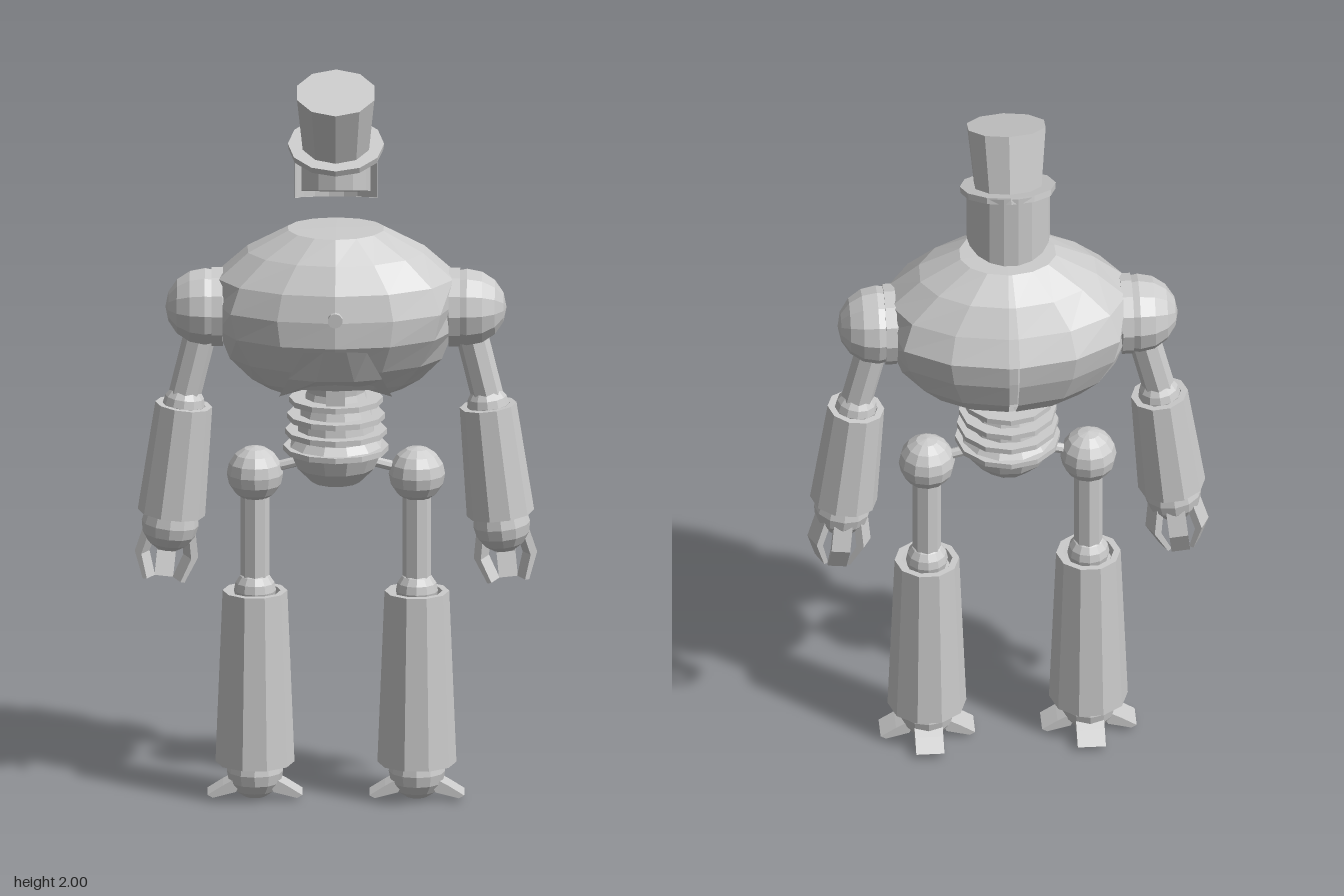
import * as THREE from 'three';

const mat = new THREE.MeshStandardMaterial({ color: 0xcccccc, flatShading: true, side: THREE.DoubleSide });

function add(parent, name, geo, x = 0, y = 0, z = 0) {
  const m = new THREE.Mesh(geo, mat);
  m.name = name;
  m.position.set(x, y, z);
  parent.add(m);
  return m;
}

function group(parent, name, x = 0, y = 0, z = 0) {
  const g = new THREE.Group();
  g.name = name;
  g.position.set(x, y, z);
  parent.add(g);
  return g;
}

const ball = (r) => new THREE.SphereGeometry(r, 12, 8);
const rod = (rt, rb, h, n = 10) => new THREE.CylinderGeometry(rt, rb, h, n);
const lathe = (pts, n = 10) => new THREE.LatheGeometry(pts.map(([r, y]) => new THREE.Vector2(r, y)), n, Math.PI / n);

// Skin between rings of [x, y, z] points, listed bottom to top
function loft(rings, closed = true, skip = () => false) {
  const n = rings[0].length, idx = [];
  for (let i = 0; i < rings.length - 1; i++) {
    for (let j = 0; j < (closed ? n : n - 1); j++) {
      if (skip(i, j)) continue;
      const a = i * n + j, b = i * n + (j + 1) % n;
      idx.push(a, b, b + n, a, b + n, a + n);
    }
  }
  const geo = new THREE.BufferGeometry();
  geo.setAttribute('position', new THREE.Float32BufferAttribute(rings.flat(2), 3));
  geo.setIndex(idx);
  geo.computeVertexNormals();
  return geo;
}

// Flat claw: outline in radius and height, given a width
function claw(outline, width) {
  const shape = new THREE.Shape(outline.map(([r, y]) => new THREE.Vector2(r, y)));
  return new THREE.ExtrudeGeometry(shape, { depth: width, bevelEnabled: false }).translate(0, 0, -width / 2);
}

// Thick sleeve with recessed ends, from y = 0 down to y = -h
function sleeve(rt, rb, h) {
  return lathe([[0, 0.025 - h], [rb - 0.025, 0.025 - h], [rb - 0.018, -h], [rb, -h],
    [rt, 0], [rt - 0.018, 0], [rt - 0.025, -0.02], [0, -0.02]]);
}

function buildHead(parent) {
  const head = group(parent, 'head');
  const brimPlane = (z) => 1.8 - 0.38 * z;
  const arc = (r, zc, from, to, n, height) => Array.from({ length: n }, (_, i) => {
    const a = from + (to - from) * i / (n - 1), z = zc + r * Math.cos(a);
    return [r * Math.sin(a), height(z), z];
  });
  // Skull with slanted ends
  const low = arc(0.092, -0.02, 0, Math.PI * 2, 13, (z) => 1.68 + 0.3 * z);
  const high = arc(0.092, -0.02, 0, Math.PI * 2, 13, brimPlane);
  const centre = low.map(() => [0, 1.674, -0.02]);
  add(head, 'skull', loft([centre, low, high]));
  // Shell around the back of the head, with a stepped cheek on each side
  const shell = (from, to, n, bottom) => loft([
    arc(0.1, -0.017, from, to, n, bottom), arc(0.111, -0.017, from, to, n, bottom),
    arc(0.111, -0.017, from, to, n, brimPlane)], false);
  add(head, 'backOfHead', shell(1.9, Math.PI * 2 - 1.9, 8, (z) => 1.66 + 0.25 * z));
  for (const s of [-1, 1]) add(head, 'cheek', shell(s * 1.4, s * 1.9, 3, (z) => 1.66 + 0.25 * z));

  // Tall hat, leaning forward
  const hat = group(head, 'hat', 0, 1.8, -0.008);
  hat.rotation.x = 0.34;
  add(hat, 'hatBrim', rod(0.128, 0.126, 0.018, 12));
  add(hat, 'hatCrown', rod(0.108, 0.092, 0.172), 0, 0.088);
}

function buildTorso(parent) {
  const torso = group(parent, 'torso');
  // Each row: height, half width, front depth, back depth
  const rows = [
    [1.14, 0.18, 0.11, 0.1], [1.17, 0.23, 0.155, 0.16], [1.23, 0.29, 0.2, 0.215], [1.31, 0.34, 0.243, 0.243],
    [1.38, 0.36, 0.242, 0.252], [1.45, 0.33, 0.225, 0.215], [1.52, 0.24, 0.18, 0.17], [1.578, 0.13, 0.12, 0.1]];
  // Angles from the back seam all round, so the seam itself is a narrow strip
  const n = 15, gap = 0.04;
  const angles = Array.from({ length: n }, (_, i) => Math.PI + gap + (Math.PI * 2 - 2 * gap) * i / (n - 1));
  const rings = rows.map(([y, w, f, b], k) => angles.map((a) => {
    const x = THREE.MathUtils.clamp(w * Math.sin(a), -0.312, 0.312), c = Math.cos(a);
    const arch = k === 0 && c > 0.75 ? 0.025 : 0;
    return [x, y + arch, c * (c > 0 ? f : b)];
  }));
  rings.push(angles.map(() => [0, 1.58, 0]));
  add(torso, 'chestShell', loft(rings, true, (i, j) => j === n - 1 && i < 4));

  // Belly plate hanging below the chest, with an arched lower edge
  const plate = [
    [[-0.15, 1.14, 0.1], [-0.07, 1.175, 0.14], [0.07, 1.175, 0.14], [0.15, 1.14, 0.1]],
    [[-0.125, 1.21, 0.18], [-0.05, 1.21, 0.205], [0.05, 1.21, 0.205], [0.125, 1.21, 0.18]],
    [[-0.085, 1.3, 0.24], [-0.03, 1.305, 0.25], [0.03, 1.305, 0.25], [0.085, 1.3, 0.24]]];
  add(torso, 'bellyPlate', loft(plate, false));
  add(torso, 'bellyTab', new THREE.BoxGeometry(0.05, 0.06, 0.02), 0, 1.155, 0.135);
  add(torso, 'chestButton', rod(0.02, 0.02, 0.02), 0, 1.39, 0.24).rotation.x = Math.PI / 2;
}

function buildWaist(parent) {
  const waist = group(parent, 'waist');
  add(waist, 'pelvisAndSpine', lathe([[0, 0.88], [0.065, 0.88], [0.105, 0.92], [0.128, 0.975], [0.108, 1.0],
    [0.1, 1.06], [0.078, 1.13], [0.085, 1.2], [0.085, 1.3]], 12));
  [0.972, 1.017, 1.06, 1.105].forEach((y, i) => add(waist, 'waistRib', rod(0.14 - i * 0.005, 0.14 - i * 0.005, 0.015, 12), 0, y));
}

function buildArm(parent, s) {
  const arm = group(parent, s > 0 ? 'leftArm' : 'rightArm');
  add(arm, 'shoulderBall', ball(0.105), s * 0.348, 1.36).rotation.z = Math.PI / 2;
  add(arm, 'shoulderCollar', rod(0.108, 0.108, 0.03, 12), s * 0.315, 1.36).rotation.z = Math.PI / 2;

  const upper = group(arm, 'upperArm', s * 0.357, 1.3);
  upper.rotation.z = s * 0.24;
  add(upper, 'upperArmRod', rod(0.043, 0.043, 0.2, 8), 0, -0.1);

  const fore = group(arm, 'forearm', s * 0.404, 1.09);
  fore.rotation.z = s * 0.11;
  add(fore, 'elbowBall', ball(0.056));
  add(fore, 'forearmSleeve', sleeve(0.076, 0.09, 0.3));
  add(fore, 'handBall', ball(0.076), 0, -0.33);
  const finger = claw([[0.045, -0.35], [0.066, -0.35], [0.082, -0.42], [0.05, -0.49], [0.038, -0.488], [0.062, -0.425]], 0.05);
  for (const yaw of [0.45, Math.PI / 2, Math.PI - 0.45]) add(fore, 'finger', finger).rotation.y = yaw;
}

function buildLeg(parent, s) {
  const leg = group(parent, s > 0 ? 'leftLeg' : 'rightLeg', s * 0.215);
  add(leg, 'hipBall', ball(0.075), 0, 0.9);
  add(leg, 'hipRod', rod(0.014, 0.014, 0.14, 8), -s * 0.1, 0.93).rotation.z = s * (Math.PI / 2 - 0.25);
  add(leg, 'thighRod', rod(0.038, 0.038, 0.26, 8), 0, 0.73);
  add(leg, 'kneeBall', ball(0.056), 0, 0.578);
  add(leg, 'shinSleeve', sleeve(0.086, 0.105, 0.472), 0, 0.577);
  add(leg, 'ankleBall', ball(0.075), 0, 0.08);
  const toe = claw([[0.04, 0.05], [0.06, 0.062], [0.085, 0.048], [0.126, 0.022], [0.112, 0.014], [0.05, 0.03]], 0.075);
  for (const yaw of [0, Math.PI / 2, Math.PI]) add(leg, 'toe', toe).rotation.y = yaw;
}

export function createModel() {
  const model = new THREE.Group();
  model.name = 'robot';
  buildHead(model);
  buildTorso(model);
  buildWaist(model);
  for (const s of [-1, 1]) {
    buildArm(model, s);
    buildLeg(model, s);
  }
  return model;
}
